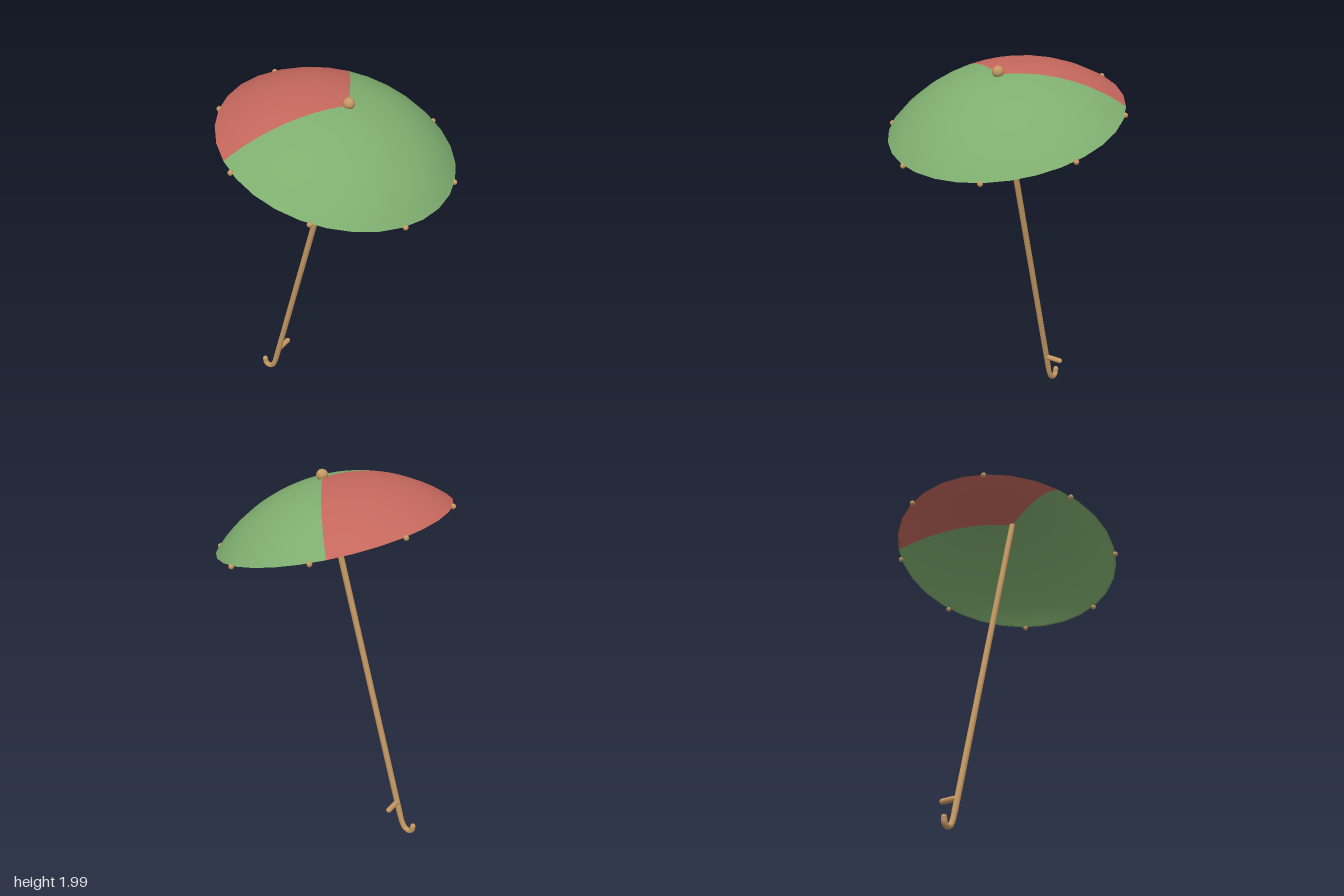
import * as THREE from 'three';
import { toCreasedNormals } from 'three/addons/utils/BufferGeometryUtils.js';

const RIM = 0.61, RISE = 0.25, THICK = 0.01, WOOD_R = 0.016;

// Points along a spherical cap arc, from the rim up to the apex
function capArc(radius, rise, steps = 14) {
  const R = (radius * radius + rise * rise) / (2 * rise);
  const edge = Math.asin(radius / R);
  return Array.from({ length: steps + 1 }, (_, i) => {
    const a = edge * (1 - i / steps);
    return new THREE.Vector2(R * Math.sin(a), R * Math.cos(a) - R + rise);
  });
}

export function createModel() {
  const model = new THREE.Group();
  model.name = 'parasol';
  const wood = new THREE.MeshStandardMaterial({ color: 0xc49862 });
  const green = new THREE.MeshStandardMaterial({ color: 0x7fae6f, side: THREE.DoubleSide });
  const red = new THREE.MeshStandardMaterial({ color: 0xc4675c, side: THREE.DoubleSide });

  // Everything leans with the shaft; the origin is the centre of the canopy rim
  const tilt = new THREE.Group();
  tilt.name = 'leaningParasol';
  tilt.position.y = 1.713;
  tilt.rotation.z = -Math.PI / 12;
  model.add(tilt);

  const add = (name, geometry, material, x = 0, y = 0, z = 0) => {
    const mesh = new THREE.Mesh(geometry, material);
    mesh.name = name;
    mesh.position.set(x, y, z);
    tilt.add(mesh);
    return mesh;
  };

  // Canopy: thin domed shell in two coloured panels
  const profile = [
    ...capArc(RIM, RISE),
    ...capArc(RIM - THICK, RISE - THICK).reverse(),
    new THREE.Vector2(RIM, 0),
  ];
  const panel = (name, material, segments, start, length) =>
    add(name, toCreasedNormals(new THREE.LatheGeometry(profile, segments, start, length), Math.PI / 6), material);
  panel('redCanopyPanel', red, 10, Math.PI * 7 / 6, Math.PI * 2 / 3);
  panel('greenCanopyPanel', green, 20, Math.PI * 11 / 6, Math.PI * 4 / 3);

  // Finial and rib tips around the rim
  add('finial', new THREE.SphereGeometry(0.03, 20, 14), wood, 0, 0.265, 0);
  const tip = new THREE.SphereGeometry(0.014, 12, 8);
  for (let i = 0; i < 8; i++) {
    const a = (i + 0.5) * Math.PI / 4;
    add('ribTip', tip, wood, RIM * Math.cos(a), -0.005, RIM * Math.sin(a));
  }

  // Shaft
  const top = RISE - 0.01, bottom = -1.66;
  add('shaft', new THREE.CylinderGeometry(WOOD_R, WOOD_R, top - bottom, 14), wood, 0, (top + bottom) / 2, 0);

  // Hooked handle with a rounded end
  const hook = new THREE.CatmullRomCurve3([
    [0, bottom], [-0.002, -1.705], [-0.012, -1.74], [-0.034, -1.757], [-0.055, -1.75], [-0.067, -1.726],
  ].map(([x, y]) => new THREE.Vector3(x, y, 0)));
  add('hookHandle', new THREE.TubeGeometry(hook, 28, 0.015, 12), wood);
  const end = hook.getPoint(1);
  add('hookEnd', new THREE.SphereGeometry(0.015, 12, 8), wood, end.x, end.y, 0);

  // Side peg pointing backwards
  const peg = add('peg', new THREE.CapsuleGeometry(0.015, 0.09, 4, 12), wood, 0, -1.582, -0.045);
  peg.rotation.x = Math.PI / 2;

  return model;
}
